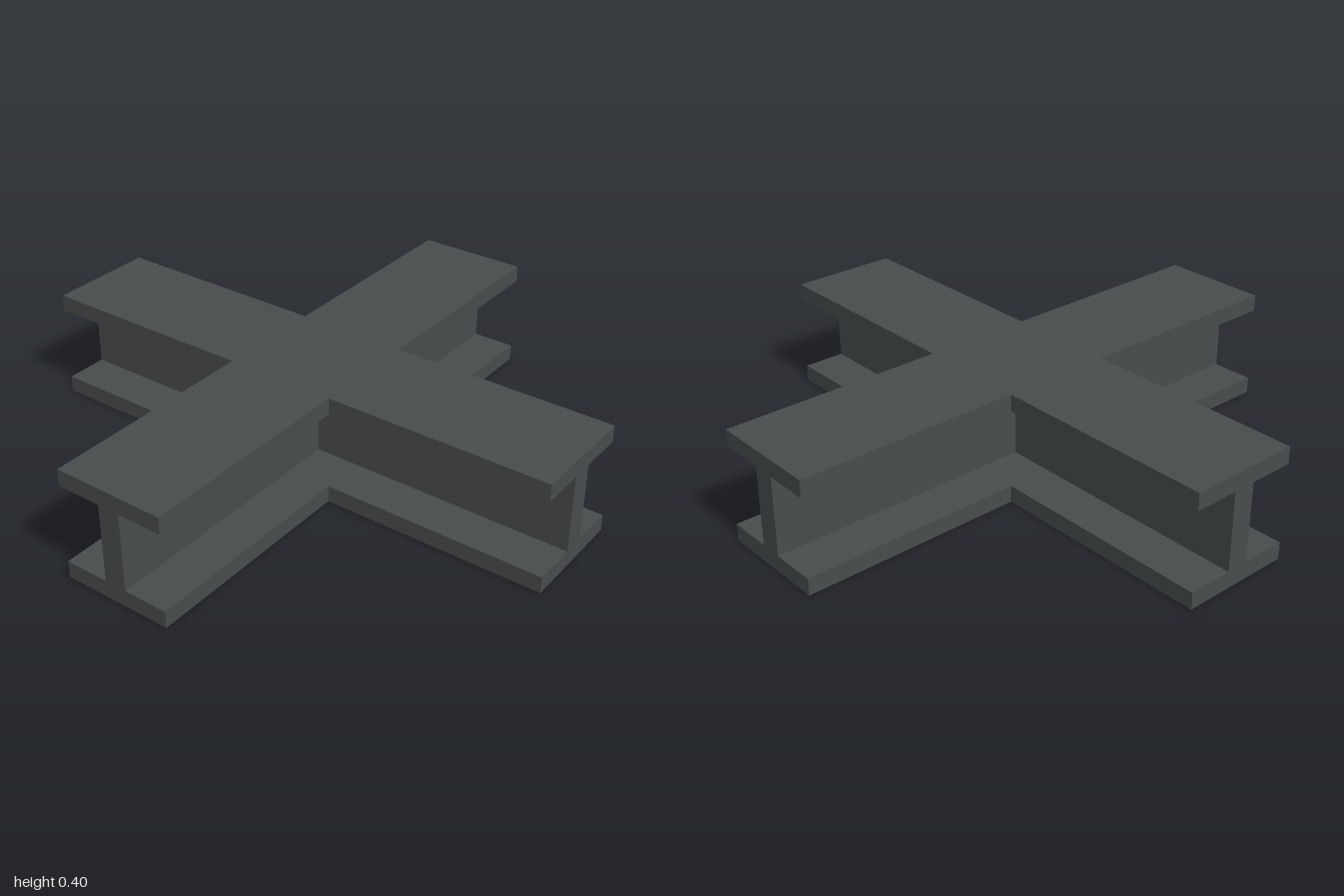
import * as THREE from 'three';

// Plus-shaped slab lying flat: arms reach 1 unit, each 2 * half wide
function crossSlab(half, bottom, height) {
  const h = half;
  const outline = [
    [h, h], [h, 1], [-h, 1], [-h, h], [-1, h], [-1, -h],
    [-h, -h], [-h, -1], [h, -1], [h, -h], [1, -h], [1, h],
  ].map(([x, y]) => new THREE.Vector2(x, y));
  const geometry = new THREE.ExtrudeGeometry(new THREE.Shape(outline), {
    depth: height, bevelEnabled: false,
  });
  geometry.rotateX(-Math.PI / 2);
  geometry.translate(0, bottom, 0);
  return geometry;
}

export function createModel() {
  const steel = new THREE.MeshStandardMaterial({ color: 0x484c4c });
  steel.name = 'darkSteel';

  const group = new THREE.Group();
  group.name = 'crossedIBeam';

  const height = 0.4, flange = 0.06;
  const parts = [
    ['bottomFlange', 0.2, 0, flange],
    ['web', 0.04, flange, height - 2 * flange],
    ['topFlange', 0.2, height - flange, flange],
  ];
  for (const [name, half, bottom, thickness] of parts) {
    const mesh = new THREE.Mesh(crossSlab(half, bottom, thickness), steel);
    mesh.name = name;
    group.add(mesh);
  }
  return group;
}
